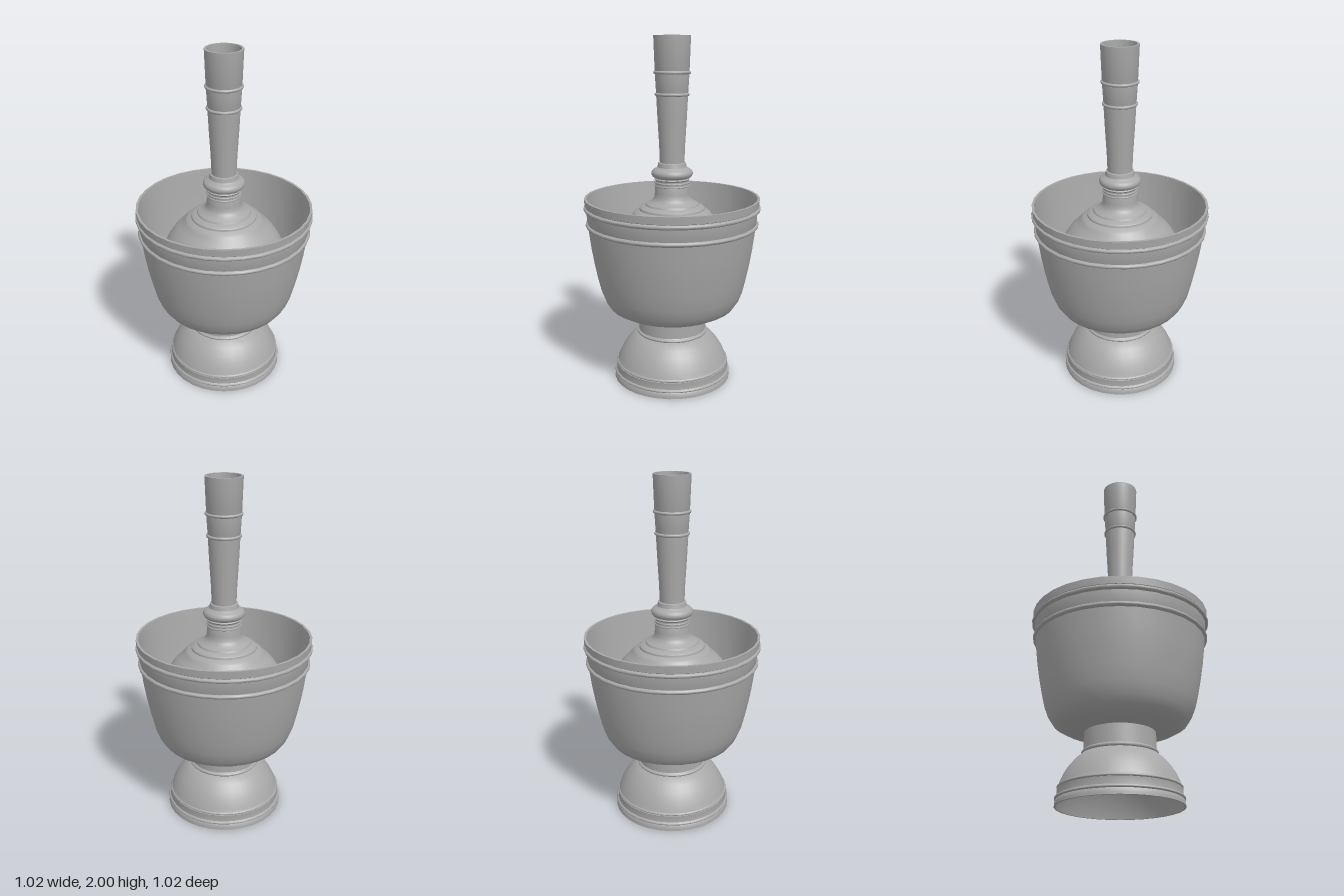
import * as THREE from 'three';
import { toCreasedNormals } from 'three/addons/utils/BufferGeometryUtils.js';

const SIDES = 32;

// Points on an elliptical arc, angles in degrees from the horizontal
function arc(cy, rx, ry, from, to, n, cx = 0) {
  return Array.from({ length: n + 1 }, (_, i) => {
    const a = THREE.MathUtils.degToRad(from + ((to - from) * i) / n);
    return [cx + rx * Math.cos(a), cy + ry * Math.sin(a)];
  });
}

// Half-round bead on a wall of radius r
const bead = (r, y, size) => arc(y, size, size, -90, 90, 6, r);

export function createModel() {
  const model = new THREE.Group();
  const metal = new THREE.MeshStandardMaterial({ name: 'plain grey', color: 0xa8a8a8, side: THREE.DoubleSide });

  function turned(name, profile) {
    const points = profile.map(([r, y]) => new THREE.Vector2(Math.max(r, 0), y));
    const geometry = toCreasedNormals(new THREE.LatheGeometry(points, SIDES), 0.6);
    const mesh = new THREE.Mesh(geometry, metal);
    mesh.name = name;
    model.add(mesh);
  }

  // Hollow domed foot with a short stem
  turned('foot', [
    [0, 0.23], [0.19, 0.23], [0.245, 0.19], [0.29, 0.12], [0.325, 0.04], [0.335, 0],
    [0.345, 0], [0.345, 0.01], [0.34, 0.03],
    ...bead(0.337, 0.042, 0.008), [0.335, 0.052], [0.332, 0.09],
    ...bead(0.326, 0.1, 0.008),
    [0.32, 0.125], [0.3, 0.17], [0.275, 0.21], [0.245, 0.245], [0.21, 0.275],
    ...bead(0.201, 0.287, 0.009),
    [0.198, 0.3], [0.196, 0.41],
  ]);

  // Deep bowl: outside from the bottom to the rim, then down the inside
  turned('bowl', [
    [0, 0.4], [0.2, 0.4], [0.26, 0.406], [0.32, 0.423], [0.368, 0.45], [0.395, 0.49],
    [0.418, 0.55], [0.437, 0.63], [0.455, 0.72], [0.47, 0.81], [0.485, 0.93],
    ...bead(0.488, 0.945, 0.012), [0.489, 0.96], [0.494, 1.025],
    ...bead(0.498, 1.04, 0.012),
    [0.502, 1.055], [0.505, 1.097], [0.491, 1.097],
    [0.475, 0.95], [0.458, 0.81], [0.436, 0.68], [0.405, 0.55],
    [0.375, 0.48], [0.32, 0.44], [0.22, 0.42], [0, 0.415],
  ]);

  // Round bottle body standing inside the bowl, with a stepped shoulder
  turned('bottleBody', [
    [0, 0.42], [0.2, 0.42],
    ...arc(0.71, 0.372, 0.35, -52, 0, 8),
    ...arc(0.71, 0.372, 0.36, 6, 52, 8),
    [0.223, 1.005], [0.215, 1.012], [0.19, 1.025],
    [0.188, 1.035], [0.18, 1.042], [0.155, 1.05],
    [0.15, 1.06], [0.125, 1.072], [0.11, 1.085], [0.102, 1.1], [0.1, 1.12],
  ]);

  // Collar with small beads and a swelling ring
  turned('collar', [
    [0.1, 1.11], [0.097, 1.155], ...bead(0.096, 1.165, 0.005),
    [0.096, 1.174], ...bead(0.096, 1.183, 0.005), [0.096, 1.195],
    [0.102, 1.203], ...arc(1.236, 0.033, 0.028, -75, 75, 8, 0.086),
    [0.084, 1.272], [0.079, 1.295], [0.07, 1.298],
  ]);

  // Flaring open neck with its inner wall and floor
  turned('neck', [
    [0.07, 1.29], [0.074, 1.4], [0.083, 1.55], [0.089, 1.67],
    ...bead(0.089, 1.68, 0.009), [0.09, 1.692], [0.096, 1.788],
    ...bead(0.096, 1.8, 0.009), [0.097, 1.812], [0.104, 2],
    [0.092, 2], [0.084, 1.8], [0.075, 1.6], [0.058, 1.3], [0, 1.3],
  ]);

  return model;
}
